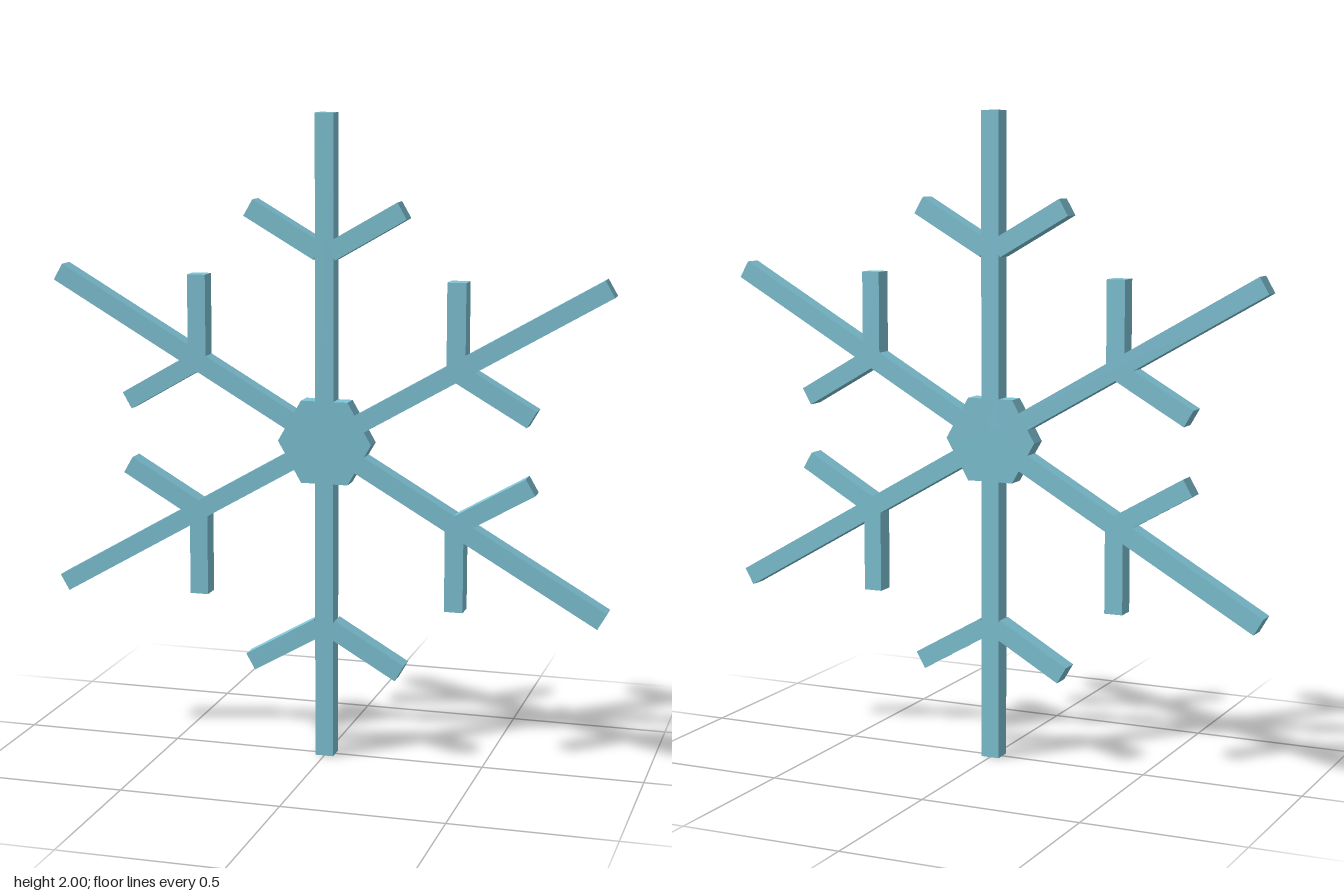
import * as THREE from 'three';

const T = 0.058; // bar width and depth

export function createModel() {
  const model = new THREE.Group();
  model.name = 'snowflake';
  const ice = new THREE.MeshStandardMaterial({ color: 0x7fc4d6, flatShading: true });

  // Square bar running along +y from one distance to another
  function bar(name, from, to) {
    const geo = new THREE.BoxGeometry(T, to - from, T);
    geo.translate(0, (from + to) / 2, 0);
    const mesh = new THREE.Mesh(geo, ice);
    mesh.name = name;
    return mesh;
  }

  // Hexagonal hub with its flats facing the arms
  const hubGeo = new THREE.CylinderGeometry(0.148, 0.148, T, 6);
  hubGeo.rotateY(Math.PI / 6).rotateX(Math.PI / 2);
  const hub = new THREE.Mesh(hubGeo, ice);
  hub.name = 'hub';
  hub.position.y = 1;
  model.add(hub);

  // Six arms, each with a pair of side branches
  for (let i = 0; i < 6; i++) {
    const upright = i % 3 === 0;
    const arm = new THREE.Group();
    arm.name = 'arm' + (i + 1);
    arm.position.y = 1;
    arm.rotation.z = (i * Math.PI) / 3;
    arm.add(bar('armBar', 0, 1));
    for (const side of [-1, 1]) {
      // Branches sit farther out on the upright arms
      const branch = upright ? bar('branch', 0.022, 0.278) : bar('branch', 0.01, 0.268);
      branch.position.y = upright ? 0.574 : 0.473;
      branch.rotation.z = (side * Math.PI) / 3;
      arm.add(branch);
    }
    model.add(arm);
  }

  // Hexagon corners must lie on the x axis so flats meet the arms
  hubGeo.computeBoundingBox();
  if (hubGeo.boundingBox.max.x < 0.14) hubGeo.rotateZ(Math.PI / 6);

  return model;
}
